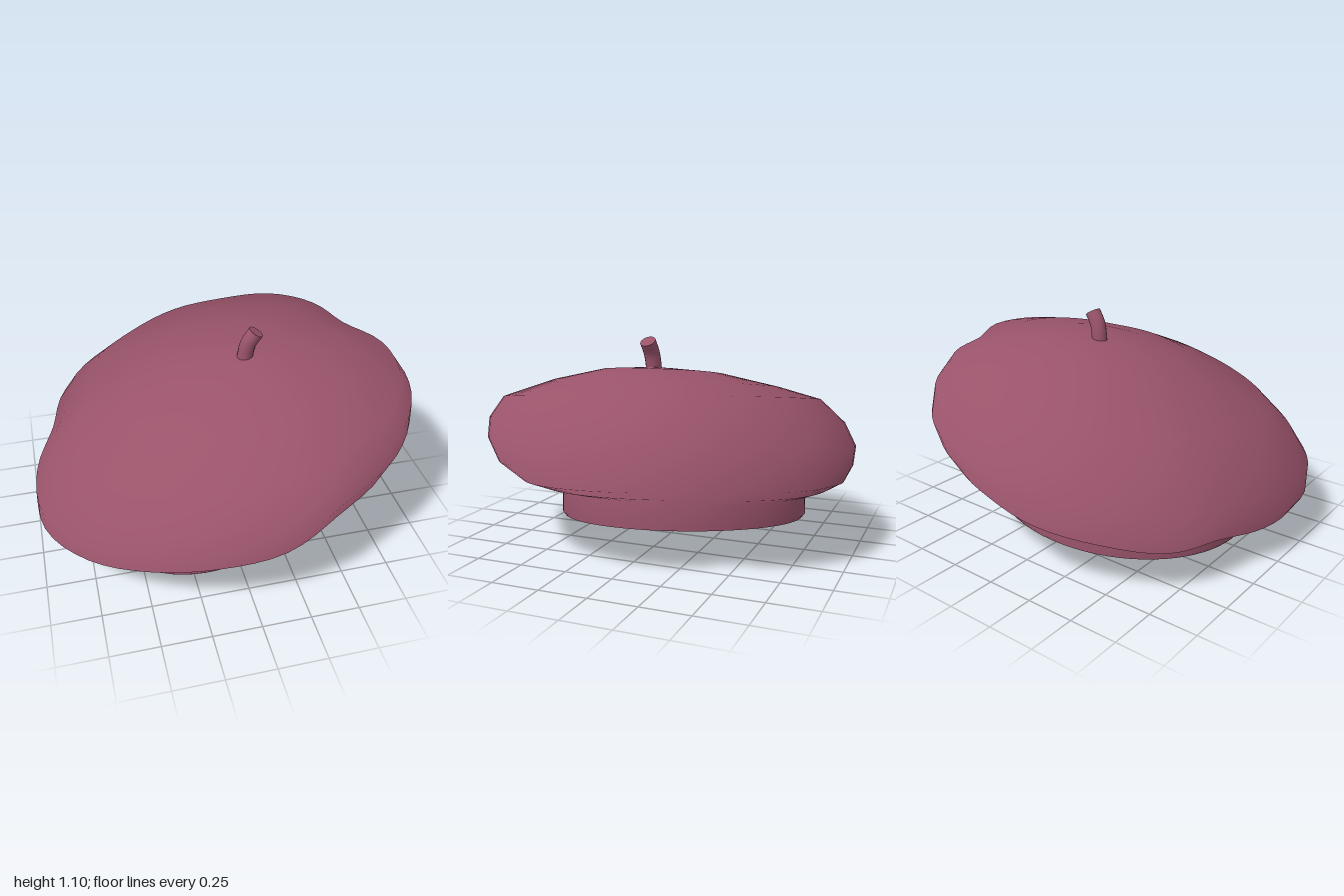
import * as THREE from 'three';

const SEGMENTS = 72;

// Wavy outline of the crown: relative radius every 20 degrees, from +x towards +z
const OUTLINE = [0.985, 1.02, 0.995, 0.94, 0.962, 0.942, 0.955, 0.997, 1.018,
  0.965, 0.91, 0.983, 0.97, 0.977, 0.96, 0.985, 0.955, 0.893];

function outlineRadius(t) {
  const n = OUTLINE.length;
  const f = t * n;
  const i = Math.floor(f);
  const u = f - i;
  const p = [-1, 0, 1, 2].map((k) => OUTLINE[(i + k + n) % n]);
  return p[1] + 0.5 * u * (p[2] - p[0] + u * (2 * p[0] - 5 * p[1] + 4 * p[2] - p[3]
    + u * (3 * (p[1] - p[2]) + p[3] - p[0])));
}

// Joins tilted rings: [centre x, centre z, radius, height, slope x, slope z, waviness].
// Rings without waves are slightly oval. Normals follow a soft dome.
function loft(rings) {
  const positions = [];
  const normals = [];
  const index = [];
  const normal = new THREE.Vector3();
  rings.forEach(([cx, cz, radius, height, slopeX, slopeZ, wave], k) => {
    const rise = THREE.MathUtils.clamp((height - 0.105) / 0.835, 0, 1);
    const flat = Math.sqrt(1 - rise * rise);
    for (let i = 0; i < SEGMENTS; i++) {
      const t = i / SEGMENTS;
      const angle = t * 2 * Math.PI;
      const oval = 0.045 * Math.cos(2 * (angle - 2));
      const r = radius * (1 + wave * (outlineRadius(t) - 1) + (1 - wave) * oval);
      const dx = r * Math.cos(angle);
      const dz = r * Math.sin(angle);
      positions.push(cx + dx, height + slopeX * dx + slopeZ * dz, cz + dz);
      normal.set(flat * Math.cos(angle) - 0.16 * rise, rise, flat * Math.sin(angle)).normalize();
      normals.push(normal.x, normal.y, normal.z);
      if (k === rings.length - 1) continue;
      const a = k * SEGMENTS + i;
      const b = k * SEGMENTS + (i + 1) % SEGMENTS;
      index.push(a, a + SEGMENTS, b, b, a + SEGMENTS, b + SEGMENTS);
    }
  });
  const geometry = new THREE.BufferGeometry();
  geometry.setAttribute('position', new THREE.Float32BufferAttribute(positions, 3));
  geometry.setAttribute('normal', new THREE.Float32BufferAttribute(normals, 3));
  geometry.setIndex(index);
  return geometry;
}

export function createModel() {
  const model = new THREE.Group();
  model.name = 'beret';
  const felt = new THREE.MeshStandardMaterial({ color: 0x99536a });
  felt.name = 'rose felt';
  const add = (name, geometry) => {
    const mesh = new THREE.Mesh(geometry, felt);
    mesh.name = name;
    model.add(mesh);
    return mesh;
  };

  // Puffy crown, from the band out over the bulge to the top
  const seam = [-0.075, -0.035, 0.675, 0.235, 0.158, -0.045, 0];
  add('crown', loft([
    seam,
    [-0.075, -0.035, 0.79, 0.265, 0.155, -0.045, 0.5],
    [-0.065, -0.035, 0.9, 0.315, 0.15, -0.046, 0.9],
    [-0.03, -0.01, 0.98, 0.415, 0.16, -0.047, 1],
    [0, 0, 1.005, 0.535, 0.166, -0.036, 1],
    [0.04, 0.01, 0.96, 0.65, 0.17, -0.05, 1],
    [0.085, 0.02, 0.85, 0.77, 0.16, -0.055, 1],
    [0.115, -0.01, 0.6, 0.855, 0.158, -0.028, 0.8],
    [0.1, 0.01, 0.33, 0.912, 0.175, -0.026, 0.5],
    [0.13, 0.03, 0.1, 0.936, 0.15, -0.02, 0.2],
    [0.14, 0.03, 0, 0.942, 0, 0, 0],
  ]));

  // Head band
  const rim = [-0.075, -0.035, 0.655, 0.105, 0.142, -0.062, 0];
  add('band', loft([
    rim,
    [-0.075, -0.035, 0.67, 0.125, 0.144, -0.062, 0],
    [-0.075, -0.035, 0.667, 0.21, 0.155, -0.05, 0],
    seam,
  ]));

  // Flat underside
  add('underside', loft([[-0.075, -0.035, 0, 0.105, 0, 0, 0], rim]));

  // Bent stalk with a flat tip
  const path = new THREE.CatmullRomCurve3([
    new THREE.Vector3(0.148, 0.88, 0.035),
    new THREE.Vector3(0.155, 0.95, 0.035),
    new THREE.Vector3(0.17, 1.02, 0.04),
    new THREE.Vector3(0.207, 1.08, 0.045),
  ]);
  add('stalk', new THREE.TubeGeometry(path, 12, 0.041, 16));
  const tip = add('stalkTip', new THREE.CircleGeometry(0.041, 16));
  tip.position.copy(path.getPoint(1));
  tip.quaternion.setFromUnitVectors(new THREE.Vector3(0, 0, 1), path.getTangent(1));

  return model;
}
